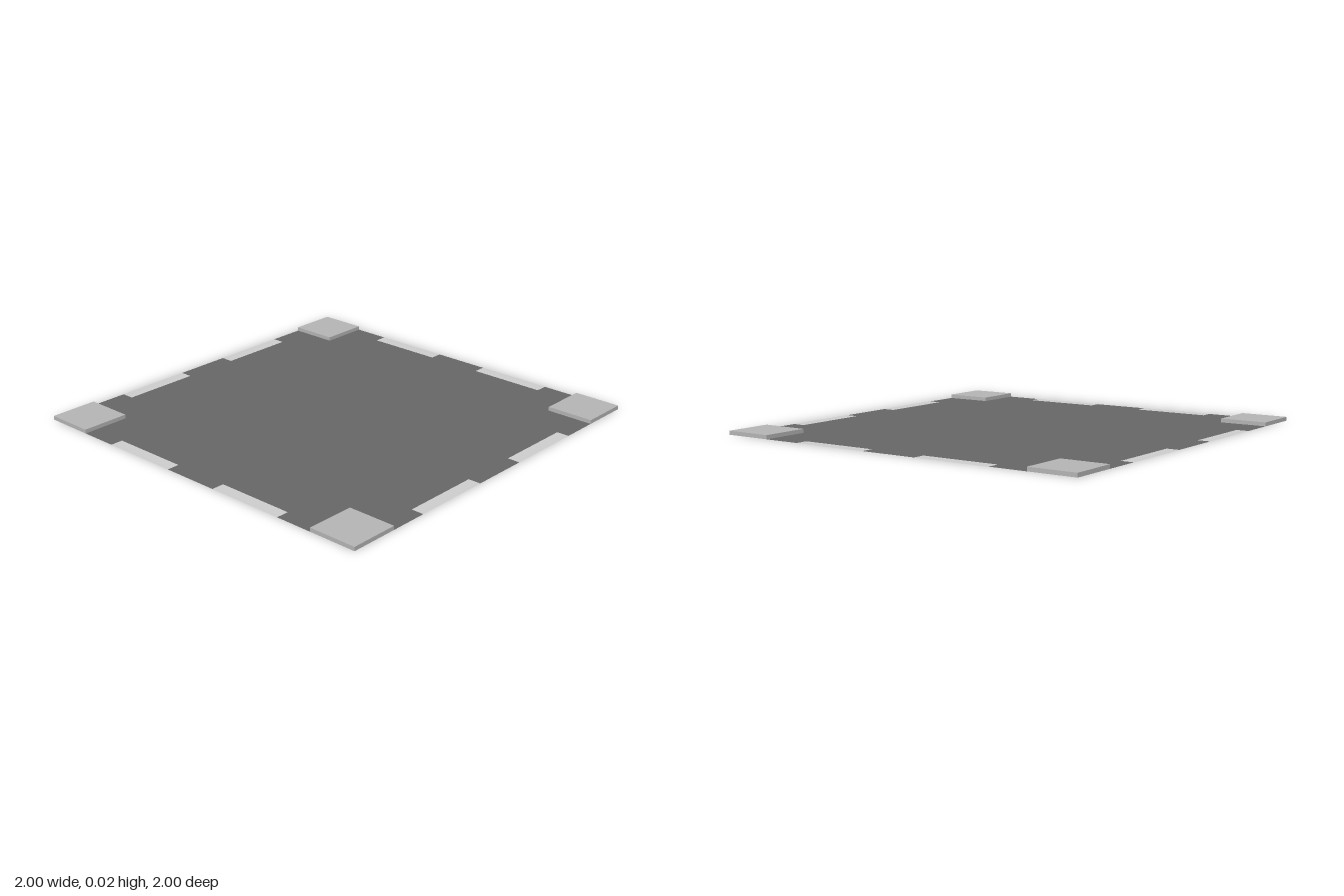
import * as THREE from 'three';

const IN = 0.75;      // inner edge of the corner pads
const H = 0.02;       // pad height
const S0 = 0.15, S1 = 0.555, SD = 0.935; // strip start, end and inner edge

const material = (color) => new THREE.MeshStandardMaterial({ color, side: THREE.DoubleSide, flatShading: true });

function flatMesh(name, points, mat) {
  const geometry = new THREE.ShapeGeometry(new THREE.Shape(points));
  geometry.rotateX(-Math.PI / 2);
  const mesh = new THREE.Mesh(geometry, mat);
  mesh.name = name;
  return mesh;
}

export function createModel() {
  const model = new THREE.Group();
  model.name = 'floorTile';
  const dark = material(0x666666), light = material(0xcccccc), mid = material(0xb3b3b3);

  // One side of the floor outline, notched for its two strips
  const side = [
    [-IN, -IN], [-IN, -1], [-S1, -1], [-S1, -SD], [-S0, -SD], [-S0, -1],
    [S0, -1], [S0, -SD], [S1, -SD], [S1, -1], [IN, -1],
  ];
  const outline = [];
  for (let i = 0; i < 4; i++) {
    for (const [x, y] of side) {
      outline.push(new THREE.Vector2(x, y).rotateAround(new THREE.Vector2(), i * Math.PI / 2));
    }
  }
  model.add(flatMesh('floorPanel', outline, dark));

  for (let i = 0; i < 4; i++) {
    const edge = new THREE.Group();
    edge.name = 'edge' + (i + 1);
    edge.rotation.y = i * Math.PI / 2;

    // Two pale strips flush with the floor
    for (const [a, b] of [[-S1, -S0], [S0, S1]]) {
      const corners = [[a, -1], [b, -1], [b, -SD], [a, -SD]].map(([x, y]) => new THREE.Vector2(x, y));
      edge.add(flatMesh('edgeStrip', corners, light));
    }

    // Raised corner pad, hollow underneath
    const box = new THREE.BoxGeometry(1 - IN, H, 1 - IN);
    const index = Array.from(box.index.array);
    index.splice(18, 6); // drop the bottom face
    box.setIndex(index);
    box.clearGroups();
    const pad = new THREE.Mesh(box, mid);
    pad.name = 'cornerPad';
    pad.position.set((1 + IN) / 2, H / 2, (1 + IN) / 2);
    edge.add(pad);
    model.add(edge);
  }
  return model;
}
